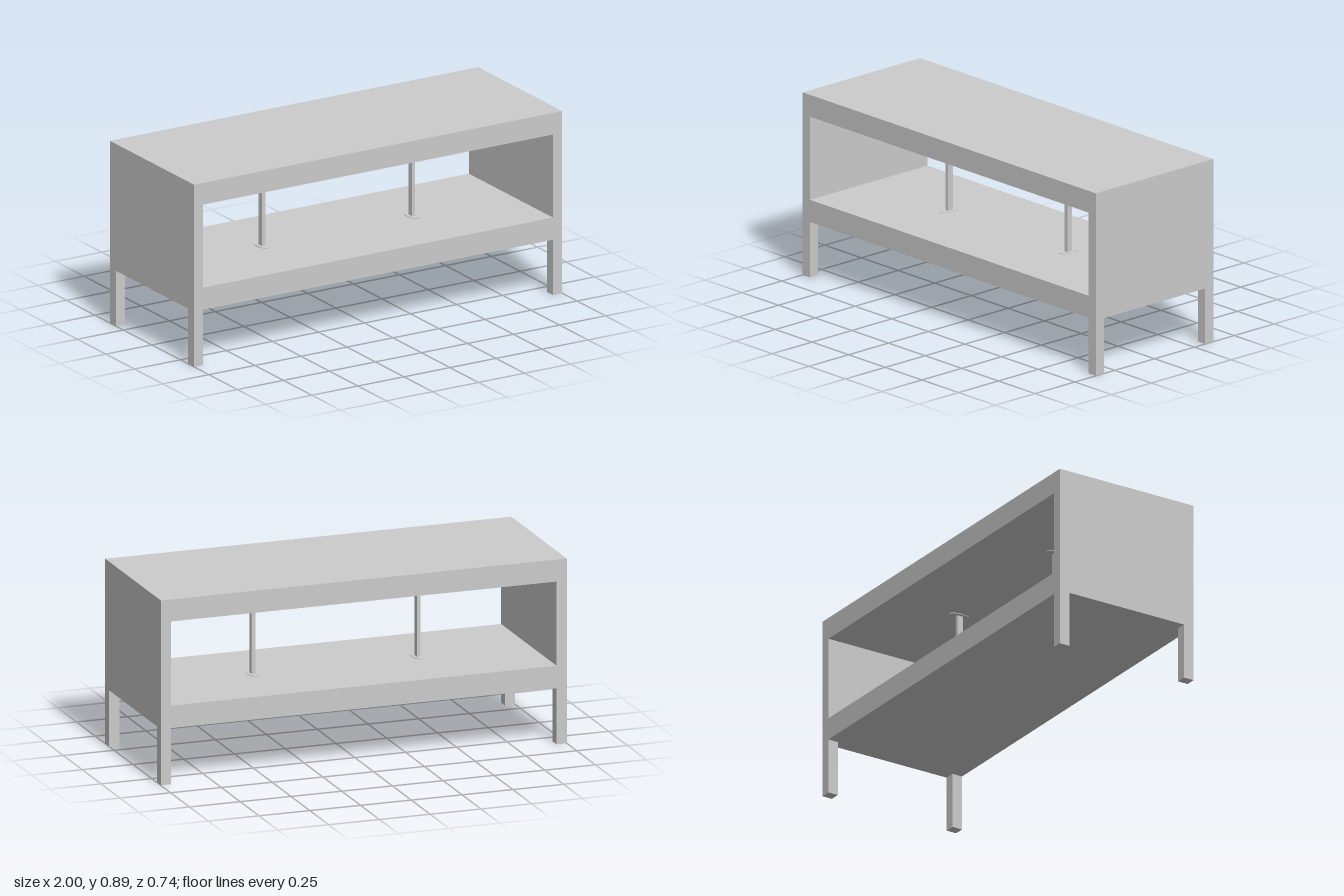
import * as THREE from 'three';

export function createModel() {
  const group = new THREE.Group();
  const material = new THREE.MeshStandardMaterial({ color: 0xcccccc });
  const add = (name, geometry, x, y, z) => {
    const mesh = new THREE.Mesh(geometry, material);
    mesh.name = name;
    mesh.position.set(x, y, z);
    group.add(mesh);
    return mesh;
  };
  // Box given by its bottom and top heights
  const box = (name, w, y0, y1, d, x = 0, z = 0) =>
    add(name, new THREE.BoxGeometry(w, y1 - y0, d), x, (y0 + y1) / 2, z);

  const depth = 0.738, legTop = 0.27, shelfTop = 0.378, topBottom = 0.783, height = 0.889;
  const thick = 0.05, legDepth = 0.052;

  // Slabs
  box('topSlab', 2, topBottom, height, depth);
  box('lowerShelf', 2, legTop, shelfTop, depth);

  // Side panels and legs
  for (const [side, s] of [['left', 1], ['right', -1]]) {
    const x = s * (1 - thick / 2);
    box(side + 'Panel', thick, shelfTop, topBottom, depth, x);
    for (const [end, e] of [['Front', 1], ['Back', -1]]) {
      box(side + end + 'Leg', thick, 0, legTop, legDepth, x, e * (depth - legDepth) / 2);
    }
  }

  // Slim supports with thin oval plates at both ends
  const plateThick = 0.003;
  const plate = new THREE.CylinderGeometry(0.055, 0.055, plateThick, 32).scale(0.5, 1, 1);
  for (const [side, x] of [['left', 0.412], ['right', -0.402]]) {
    box(side + 'Support', 0.018, shelfTop, topBottom, 0.03, x);
    add(side + 'LowerPlate', plate, x, shelfTop + plateThick / 2, 0);
    add(side + 'UpperPlate', plate, x, topBottom - plateThick / 2, 0);
  }
  return group;
}
